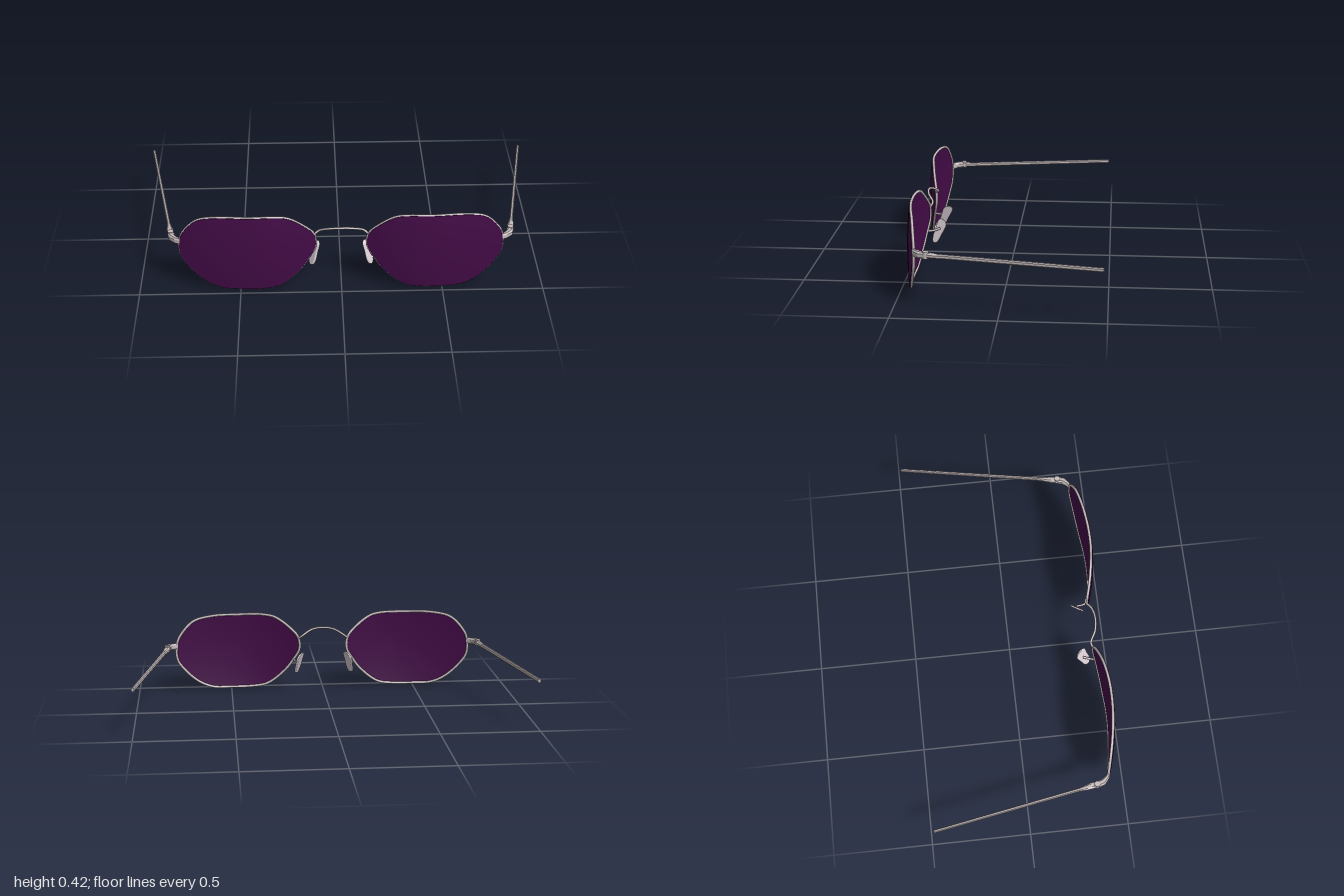
import * as THREE from 'three';
import { mergeGeometries } from 'three/addons/utils/BufferGeometryUtils.js';

const metal = new THREE.MeshStandardMaterial({ color: 0xc6bbbd });
metal.name = 'frame metal';
const padMat = new THREE.MeshStandardMaterial({ color: 0xd8ccd2 });
padMat.name = 'nose pad';
const tint = new THREE.MeshStandardMaterial({ color: 0x430b47 });
tint.name = 'lens tint';

const V = (x, y, z) => new THREE.Vector3(x, y, z);

// Forward bulge shared by lens and rim
const CX = 0.42, CY = 0.19;
const bulge = (x, y) => 0.478 - (x > CX ? 0.46 : 0.66) * (x - CX) ** 2 - 0.25 * (y - CY) ** 2;

// Lens outline of the left eye, counter-clockwise from the front
const outline = new THREE.CatmullRomCurve3([
  [0.797, 0.275], [0.77, 0.327], [0.705, 0.39], [0.604, 0.413], [0.46, 0.416], [0.315, 0.414],
  [0.255, 0.4], [0.166, 0.334], [0.13, 0.29], [0.124, 0.222], [0.16, 0.158], [0.203, 0.1],
  [0.3, 0.022], [0.39, 0.005], [0.5, 0.004], [0.604, 0.01], [0.684, 0.047], [0.76, 0.12], [0.797, 0.18],
].map(([x, y]) => V(x, y, 0)), true).getSpacedPoints(96).slice(0, 96);

// Closed rings joined into a skin; each ring is an array of points
function skin(rings, wrapCaps = false) {
  const n = rings[0].length, pos = [], index = [];
  rings.forEach(r => r.forEach(p => pos.push(p.x, p.y, p.z)));
  for (let i = 0; i < rings.length - 1; i++)
    for (let j = 0; j < n; j++) {
      const k = (j + 1) % n, a = i * n + j, b = a + n, c = (i + 1) * n + k, d = i * n + k;
      index.push(a, b, c, a, c, d);
    }
  if (wrapCaps)
    for (let j = 1; j < n - 1; j++) {
      const e = (rings.length - 1) * n;
      index.push(0, j, j + 1, e, e + j + 1, e + j);
    }
  const g = new THREE.BufferGeometry();
  g.setAttribute('position', new THREE.Float32BufferAttribute(pos, 3));
  g.setIndex(index);
  g.computeVertexNormals();
  return g;
}

// Outline scaled about the lens centre and laid on the bulge
const lensRing = (s, dz) => outline.map(p => {
  const x = CX + (p.x - CX) * s, y = CY + (p.y - CY) * s;
  return V(x, y, bulge(x, y) + dz);
});

function lensGeometry() {
  const steps = [0, 0.15, 0.3, 0.45, 0.6, 0.75, 0.88, 0.988];
  return mergeGeometries([
    skin(steps.map(s => lensRing(s, 0.005))),
    skin([lensRing(0.988, 0.005), lensRing(0.988, -0.005)]),
    skin([...steps].reverse().map(s => lensRing(s, -0.005))),
  ]);
}

function rimGeometry() {
  const path = new THREE.CatmullRomCurve3(lensRing(0.983, -0.004), true);
  return new THREE.TubeGeometry(path, 128, 0.007, 8, true);
}

const tube = (pts, r, seg = 16) =>
  new THREE.TubeGeometry(new THREE.CatmullRomCurve3(pts), seg, r, 8);

// Bevelled bar through stations [x, y, z, half width, half height]
function bar(stations) {
  const corners = [[1, 0.5], [0.5, 1], [-0.5, 1], [-1, 0.5], [-1, -0.5], [-0.5, -1], [0.5, -1], [1, -0.5]];
  const rings = stations.map(([x, y, z, w, h], i) => {
    const a = stations[Math.max(i - 1, 0)], b = stations[Math.min(i + 1, stations.length - 1)];
    const dir = V(b[0] - a[0], 0, b[2] - a[2]).normalize();
    return corners.map(([u, v]) => V(x - dir.z * u * w, y + v * h, z + dir.x * u * w));
  });
  const g = skin(rings, true).toNonIndexed();
  g.computeVertexNormals();
  return g;
}

// Slanted drop-shaped nose pad, outlined in z and y
function padGeometry() {
  const loop = new THREE.SplineCurve([
    [0.362, 0.215], [0.342, 0.207], [0.335, 0.185], [0.355, 0.145], [0.375, 0.108], [0.39, 0.096],
    [0.405, 0.1], [0.405, 0.128], [0.392, 0.165], [0.38, 0.203], [0.362, 0.215],
  ].map(([z, y]) => new THREE.Vector2(-z, y)));
  const g = new THREE.ExtrudeGeometry(new THREE.Shape(loop.getPoints(40)), {
    depth: 0.006, bevelEnabled: true, bevelThickness: 0.003, bevelSize: 0.003,
    bevelOffset: -0.003, bevelSegments: 2,
  });
  g.rotateY(Math.PI / 2);
  const p = g.attributes.position;
  for (let i = 0; i < p.count; i++) {
    const y = p.getY(i), z = p.getZ(i);
    p.setX(i, p.getX(i) + 0.105 + (0.215 - y) * 0.45 + (0.375 - z) * 0.6);
  }
  g.computeVertexNormals();
  return g;
}

// Copy reflected in x with the faces turned back outward
function mirrored(geo) {
  const g = geo.index ? geo.toNonIndexed() : geo.clone();
  g.scale(-1, 1, 1);
  for (const name of ['position', 'normal']) {
    const a = g.attributes[name], v = V(), w = V();
    for (let i = 0; i < a.count; i += 3) {
      v.fromBufferAttribute(a, i + 1);
      w.fromBufferAttribute(a, i + 2);
      a.setXYZ(i + 1, w.x, w.y, w.z);
      a.setXYZ(i + 2, v.x, v.y, v.z);
    }
  }
  return g;
}

export function createModel() {
  const group = new THREE.Group();
  group.name = 'glasses';
  const add = (name, geo, mat) => {
    const m = new THREE.Mesh(geo, mat);
    m.name = name;
    group.add(m);
  };
  const pair = (name, geo, mat) => {
    add('left' + name, geo, mat);
    add('right' + name, mirrored(geo), mat);
  };

  pair('Lens', lensGeometry(), tint);
  pair('Rim', rimGeometry(), metal);

  // Arched bridge between the rims
  const half = [[0.134, 0.282, 0.415], [0.112, 0.3, 0.406], [0.06, 0.327, 0.432]];
  add('bridge', tube([
    ...half.map(([x, y, z]) => V(-x, y, z)), V(0, 0.335, 0.441),
    ...half.reverse().map(([x, y, z]) => V(x, y, z)),
  ], 0.006, 40), metal);

  // Nose pads on short arms
  pair('PadArm', tube([V(0.158, 0.16, 0.425), V(0.15, 0.16, 0.4), V(0.142, 0.171, 0.366)], 0.006), metal);
  pair('NosePad', padGeometry(), padMat);

  // End piece, hinge and temple
  pair('EndPiece', bar([
    [0.79, 0.254, 0.412, 0.008, 0.015], [0.812, 0.254, 0.4, 0.011, 0.017],
    [0.833, 0.254, 0.378, 0.016, 0.017], [0.84, 0.254, 0.352, 0.017, 0.016],
  ]), metal);
  const barrel = new THREE.CylinderGeometry(0.015, 0.015, 0.034, 16);
  barrel.translate(0.842, 0.256, 0.347);
  pair('HingeBarrel', barrel, metal);
  pair('Temple', bar([
    [0.841, 0.254, 0.35, 0.014, 0.012], [0.845, 0.254, 0.32, 0.016, 0.011],
    [0.852, 0.253, 0.29, 0.013, 0.01], [0.858, 0.253, 0.255, 0.008, 0.011],
    [0.99, 0.252, -0.48, 0.007, 0.01],
  ]), metal);
  return group;
}
